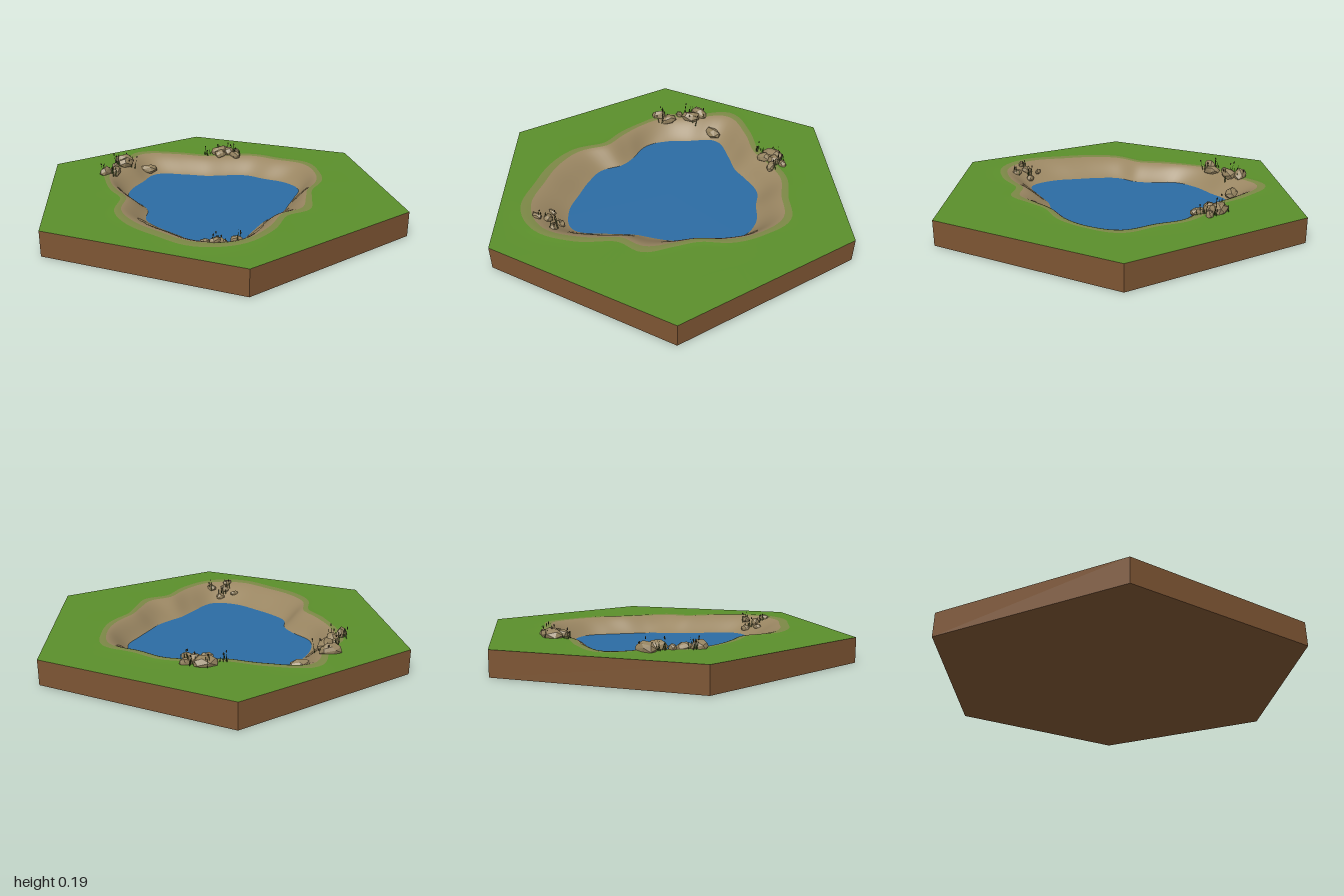
import * as THREE from 'three';
import { ConvexGeometry } from 'three/addons/geometries/ConvexGeometry.js';

const TOP = 0.125, WATER = 0.038, SEGMENTS = 144;

const mat = (name, color, extra = {}) => Object.assign(new THREE.MeshStandardMaterial({ color, ...extra }), { name });

// Radii every 15 degrees, from +x towards +z
const shore = [0.43, 0.39, 0.38, 0.37, 0.38, 0.45, 0.57, 0.55, 0.49, 0.46, 0.44, 0.38,
  0.40, 0.48, 0.51, 0.53, 0.58, 0.49, 0.43, 0.44, 0.47, 0.465, 0.50, 0.50];
const rim = [0.555, 0.49, 0.50, 0.54, 0.52, 0.63, 0.74, 0.75, 0.68, 0.64, 0.59, 0.50,
  0.53, 0.585, 0.65, 0.66, 0.75, 0.65, 0.56, 0.57, 0.60, 0.60, 0.65, 0.61];

// Smooth periodic lookup in a radius table
function radius(table, angle) {
  const n = table.length;
  const t = ((angle / (2 * Math.PI)) * n + n) % n;
  const i = Math.floor(t), f = t - i;
  const [a, b, c, d] = [-1, 0, 1, 2].map((k) => table[(i + k + n) % n]);
  return b + 0.5 * f * (c - a + f * (2 * a - 5 * b + 4 * c - d + f * (3 * (b - c) + d - a)));
}

// s runs from 0 at the rim to 1 at the water's edge
const bankRadius = (s, a) => THREE.MathUtils.lerp(radius(rim, a), radius(shore, a), s);
function bankHeight(s, a) {
  const lip = 0.002 * (1 + Math.sin(5 * a)) * Math.max(0, 1 - Math.abs(s + 0.1) / 0.4);
  return TOP + lip - 0.1 * THREE.MathUtils.smoothstep(s, 0, 1.3);
}
function groundAt(x, z) {
  const a = Math.atan2(z, x), outer = radius(rim, a);
  return bankHeight((outer - Math.hypot(x, z)) / (outer - radius(shore, a)), a);
}
function hexRadius(a) {
  const step = Math.PI / 3;
  return Math.cos(Math.PI / 6) / Math.cos(a - Math.round(a / step) * step);
}

// Surface through closed rings, given from the outside in
function ringSurface(rings) {
  const pos = [], index = [];
  rings.forEach((ring, j) => {
    for (let i = 0; i < SEGMENTS; i++) {
      const a = (i / SEGMENTS) * 2 * Math.PI, [r, y] = ring(a);
      pos.push(r * Math.cos(a), y, r * Math.sin(a));
      if (j === 0) continue;
      const n = (i + 1) % SEGMENTS, A = (j - 1) * SEGMENTS, C = j * SEGMENTS;
      index.push(A + i, C + i, A + n, A + n, C + i, C + n);
    }
  });
  const g = new THREE.BufferGeometry();
  g.setAttribute('position', new THREE.Float32BufferAttribute(pos, 3));
  g.setIndex(index);
  g.computeVertexNormals();
  return g;
}
const bankRing = (s) => (a) => [bankRadius(s, a), bankHeight(s, a)];
const bankRings = (from, to, count) =>
  Array.from({ length: count + 1 }, (_, i) => bankRing(from + ((to - from) * i) / count));

export function createModel() {
  const model = new THREE.Group();
  model.name = 'pondTile';
  let seed = 11;
  const rand = () => (seed = (seed * 16807) % 2147483647) / 2147483647;

  const soil = mat('soil brown', 0x7d5533, { flatShading: true });
  const grass = mat('grass green', 0x5b8f2b);
  const fringe = mat('mossy sand', 0x7c8846);
  const sand = mat('sand', 0x9a8662);
  const water = mat('water blue', 0x2c6ca3);
  const stone = mat('stone', 0x94825f, { flatShading: true });
  const reed = mat('reed green', 0x465c28);
  const seedHead = mat('seed head brown', 0x4a4026);

  const add = (parent, name, geometry, material) => {
    const mesh = new THREE.Mesh(geometry, material);
    mesh.name = name;
    parent.add(mesh);
    return mesh;
  };
  const group = (name) => {
    const g = new THREE.Group();
    g.name = name;
    model.add(g);
    return g;
  };

  // Hexagonal block of earth
  add(model, 'soilSides', new THREE.CylinderGeometry(1, 1, TOP, 6, 1, true), soil).position.y = TOP / 2;
  add(model, 'soilBottom', new THREE.CircleGeometry(1, 6, Math.PI / 6).rotateX(Math.PI / 2), soil);

  // Ground, from the lawn down into the pond
  add(model, 'lawn', ringSurface([
    (a) => [hexRadius(a), TOP],
    (a) => [(hexRadius(a) + bankRadius(-0.5, a)) / 2, TOP],
    ...bankRings(-0.5, -0.18, 2),
  ]), grass);
  add(model, 'bankFringe', ringSurface(bankRings(-0.18, 0.08, 3)), fringe);
  add(model, 'sandBank', ringSurface(bankRings(0.08, 1.15, 12)), sand);
  add(model, 'pondWater', ringSurface([(a) => [bankRadius(0.98, a), WATER], () => [0, WATER]]), water);

  // Boulders: x, z, half length, half width, turn, half height
  const boulders = [
    [0.11, -0.605, 0.065, 0.045, 0.2, 0.038], [0.10, -0.55, 0.04, 0.03, 0.5, 0.028],
    [0.155, -0.575, 0.035, 0.03, 1.2, 0.034], [0.185, -0.53, 0.045, 0.022, -0.9, 0.026],
    [0.20, -0.595, 0.025, 0.02, 0, 0.025],
    [-0.34, -0.51, 0.058, 0.036, 0.1, 0.03], [-0.48, -0.505, 0.062, 0.034, 0.2, 0.034],
    [-0.47, -0.44, 0.055, 0.035, 0.9, 0.036], [-0.53, -0.395, 0.022, 0.018, 0.4, 0.022],
    [-0.53, -0.32, 0.05, 0.033, 1.4, 0.032], [-0.585, -0.285, 0.045, 0.026, 1.0, 0.034],
    [-0.135, 0.62, 0.026, 0.014, 0.3, 0.016], [-0.05, 0.615, 0.028, 0.022, 0.4, 0.02],
    [-0.08, 0.665, 0.03, 0.023, -0.8, 0.024], [0.0, 0.67, 0.03, 0.022, -0.4, 0.022],
    [-0.10, 0.715, 0.03, 0.017, 0.4, 0.02],
  ];
  const rocks = group('rocks');
  for (const [x, z, length, width, turn, height] of boulders) {
    const points = Array.from({ length: 20 }, (_, i) => {
      const y = 1 - (2 * (i + 0.5)) / 20, r = Math.sqrt(1 - y * y), a = i * 2.4 + rand() * 0.5;
      const k = 0.88 + rand() * 0.2;
      return new THREE.Vector3(r * Math.cos(a) * k * length, y * k * height, r * Math.sin(a) * k * width);
    });
    const rock = add(rocks, 'rock', new ConvexGeometry(points), stone);
    rock.position.set(x, groundAt(x, z) + height * 0.25, z);
    rock.rotation.y = turn;
  }

  // Reed tufts: x, z, height
  const tufts = [
    [0.03, -0.57, 0.05], [0.10, -0.63, 0.06], [0.17, -0.61, 0.06], [0.20, -0.55, 0.065],
    [-0.58, -0.32, 0.065], [-0.55, -0.28, 0.06], [-0.52, -0.45, 0.07], [-0.45, -0.50, 0.065], [-0.44, -0.43, 0.07],
    [-0.10, 0.69, 0.045], [-0.06, 0.64, 0.055], [0.01, 0.67, 0.06],
  ];
  const reeds = group('reeds');
  for (const [x, z, height] of tufts) {
    for (let i = 0; i < 6; i++) {
      const h = height * (0.55 + rand() * 0.5);
      const blade = add(reeds, 'reedBlade', new THREE.ConeGeometry(0.0028, h, 3).translate(0, h / 2, 0), reed);
      const px = x + (rand() - 0.5) * 0.045, pz = z + (rand() - 0.5) * 0.045;
      blade.position.set(px, groundAt(px, pz) - 0.003, pz);
      blade.rotation.set((rand() - 0.5) * 0.5, rand() * 3, (rand() - 0.5) * 0.5);
      if (i % 3) continue;
      const head = add(blade, 'seedHead', new THREE.SphereGeometry(0.0035, 5, 4), seedHead);
      head.scale.y = 2;
      head.position.y = h;
    }
  }
  return model;
}
